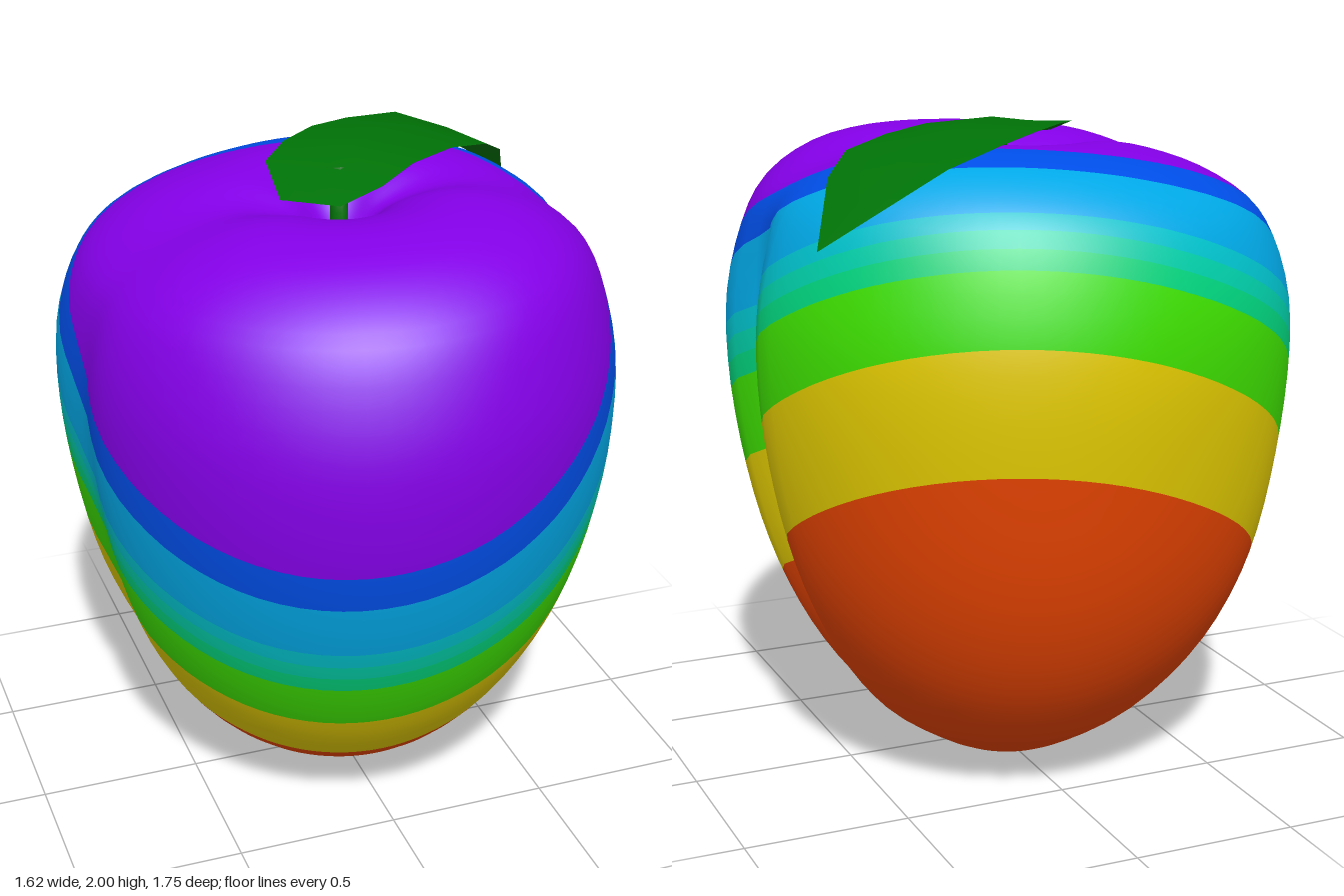
import * as THREE from 'three';

const paint = (name, color, side = THREE.FrontSide) => {
  const m = new THREE.MeshStandardMaterial({ color, side });
  m.name = name;
  return m;
};

// Skin colours with the upper limit of each slanted band
const BANDS = [
  ['orange', 0xe84400, 0.525],
  ['yellow', 0xe4cc00, 0.88],
  ['green', 0x3ee000, 1.12],
  ['seafoam', 0x00d47e, 1.19],
  ['turquoise', 0x00cea8, 1.255],
  ['cyan', 0x00c2cc, 1.32],
  ['skyBlue', 0x00a8e6, 1.53],
  ['blue', 0x004ee8, 1.66],
  ['purple', 0x8400e8, 9],
];
const bandValue = (v) => v[1] - 0.25 * v[0] + 0.62 * v[2];

// Fruit profile: relative radius, height
const PROFILE = [
  [0, 0], [0.18, 0.02], [0.35, 0.09], [0.53, 0.2], [0.69, 0.36], [0.815, 0.55],
  [0.905, 0.76], [0.967, 1], [1, 1.24], [0.995, 1.46], [0.935, 1.66], [0.85, 1.785],
  [0.7, 1.875], [0.53, 1.922], [0.39, 1.932], [0.26, 1.91], [0.16, 1.865], [0.09, 1.8], [0, 1.75],
];
const ROWS = 54, COLS = 84;
const bump = (d, width) => Math.exp(-((d / width) ** 2));

// Smooth fruit body: deep crease on the +x side, faint one on -x, fuller behind on the -x side
function fruitGeometry() {
  const curve = new THREE.SplineCurve(PROFILE.map(([r, y]) => new THREE.Vector2(r, y)));
  const { smoothstep } = THREE.MathUtils;
  const pos = [], index = [];
  for (let i = 0; i <= ROWS; i++) {
    const p = curve.getPoint(i / ROWS);
    const r = Math.max(p.x, 0), y = Math.max(p.y, 0);
    const crease = (1 - smoothstep(y, 1.45, 1.93)) * smoothstep(r, 0.15, 0.6);
    const swell = smoothstep(r, 0.3, 0.9);
    const top = smoothstep(y, 1.5, 1.9) * smoothstep(r, 0, 0.3);
    const shift = -0.06 * (1 - smoothstep(y, 0.1, 1.2));
    for (let j = 0; j < COLS; j++) {
      const d = (j / COLS) * Math.PI * 2 - Math.PI;
      const a = d + 0.05;
      const opposite = Math.PI - Math.abs(d);
      const k = r * (1 - crease * (0.13 * bump(d, 0.12) + 0.04 * bump(opposite, 0.18))
        + swell * 0.072 * bump(a + 2.5, 0.45));
      const x = 0.82 * k * Math.cos(a);
      const lift = 0.04 * x - 0.04 * bump(d, 0.35) - 0.04 * bump(opposite, 0.4);
      pos.push(x, y + top * lift, 0.872 * k * Math.sin(a) + shift);
    }
  }
  for (let i = 0; i < ROWS; i++) {
    for (let j = 0; j < COLS; j++) {
      const a = i * COLS + j, b = i * COLS + ((j + 1) % COLS);
      index.push(a, a + COLS, b, b, a + COLS, b + COLS);
    }
  }
  const g = new THREE.BufferGeometry();
  g.setAttribute('position', new THREE.Float32BufferAttribute(pos, 3));
  g.setIndex(index);
  g.computeVertexNormals();
  return g;
}

// Keep the part of a polygon where sign * (bandValue - limit) >= 0
function clip(poly, limit, sign) {
  const out = [];
  poly.forEach((a, i) => {
    const b = poly[(i + 1) % poly.length];
    const da = sign * (bandValue(a) - limit), db = sign * (bandValue(b) - limit);
    if (da >= 0) out.push(a);
    if ((da >= 0) !== (db >= 0)) {
      const t = da / (da - db);
      out.push(a.map((v, k) => v + (b[k] - v) * t));
    }
  });
  return out;
}

// Cut one slanted band out of the fruit surface
function bandGeometry(body, low, high) {
  const P = body.attributes.position, N = body.attributes.normal, I = body.index;
  const vert = (n) => [P.getX(n), P.getY(n), P.getZ(n), N.getX(n), N.getY(n), N.getZ(n)];
  const pos = [], nor = [];
  for (let t = 0; t < I.count; t += 3) {
    let poly = [0, 1, 2].map((k) => vert(I.getX(t + k)));
    poly = clip(clip(poly, low, 1), high, -1);
    for (let k = 1; k < poly.length - 1; k++) {
      for (const v of [poly[0], poly[k], poly[k + 1]]) {
        pos.push(v[0], v[1], v[2]);
        nor.push(v[3], v[4], v[5]);
      }
    }
  }
  const g = new THREE.BufferGeometry();
  g.setAttribute('position', new THREE.Float32BufferAttribute(pos, 3));
  g.setAttribute('normal', new THREE.Float32BufferAttribute(nor, 3));
  return g;
}

// Leaf cross-sections: back edge, front edge, lift of the midrib
const LEAF = [
  [[-0.2, 1.925, 0.05], [-0.05, 1.92, 0.145], 0],
  [[-0.18, 1.975, -0.15], [0.1, 1.945, 0.09], 0.01],
  [[-0.08, 1.985, -0.28], [0.23, 1.97, 0], 0.02],
  [[0.05, 1.98, -0.4], [0.4, 1.96, -0.12], 0.025],
  [[0.2, 1.96, -0.5], [0.55, 1.93, -0.2], 0.02],
  [[0.41, 1.92, -0.62], [0.64, 1.87, -0.3], 0.01],
  [[0.76, 1.71, -0.55], [0.76, 1.71, -0.55], 0],
];
function leafGeometry() {
  const pos = [], index = [];
  LEAF.forEach(([a, b, lift], i) => {
    const mid = a.map((v, k) => (v + b[k]) / 2 + (k === 1 ? lift : 0));
    pos.push(...a, ...mid, ...b);
    if (i === LEAF.length - 1) return;
    for (let k = 0; k < 2; k++) {
      const n = i * 3 + k;
      index.push(n, n + 1, n + 3, n + 1, n + 4, n + 3);
    }
  });
  const g = new THREE.BufferGeometry();
  g.setAttribute('position', new THREE.Float32BufferAttribute(pos, 3));
  g.setIndex(index);
  g.computeVertexNormals();
  return g;
}

export function createModel() {
  const model = new THREE.Group();
  model.name = 'stripedFruit';
  const add = (parent, name, geometry, material) => {
    const mesh = new THREE.Mesh(geometry, material);
    mesh.name = name;
    parent.add(mesh);
  };

  // Fruit skin, one mesh per colour band
  const skin = new THREE.Group();
  skin.name = 'skin';
  const body = fruitGeometry();
  let low = -9;
  for (const [name, color, high] of BANDS) {
    add(skin, name + 'Band', bandGeometry(body, low, high), paint(name, color));
    low = high;
  }
  model.add(skin);

  // Stem and leaf
  const leafGreen = paint('leafGreen', 0x007206, THREE.DoubleSide);
  const path = new THREE.CatmullRomCurve3([
    new THREE.Vector3(0, 1.72, 0), new THREE.Vector3(0, 1.86, -0.01), new THREE.Vector3(0.01, 1.965, -0.05),
  ]);
  add(model, 'stem', new THREE.TubeGeometry(path, 8, 0.028, 8), leafGreen);
  add(model, 'leaf', leafGeometry(), leafGreen);
  return model;
}
